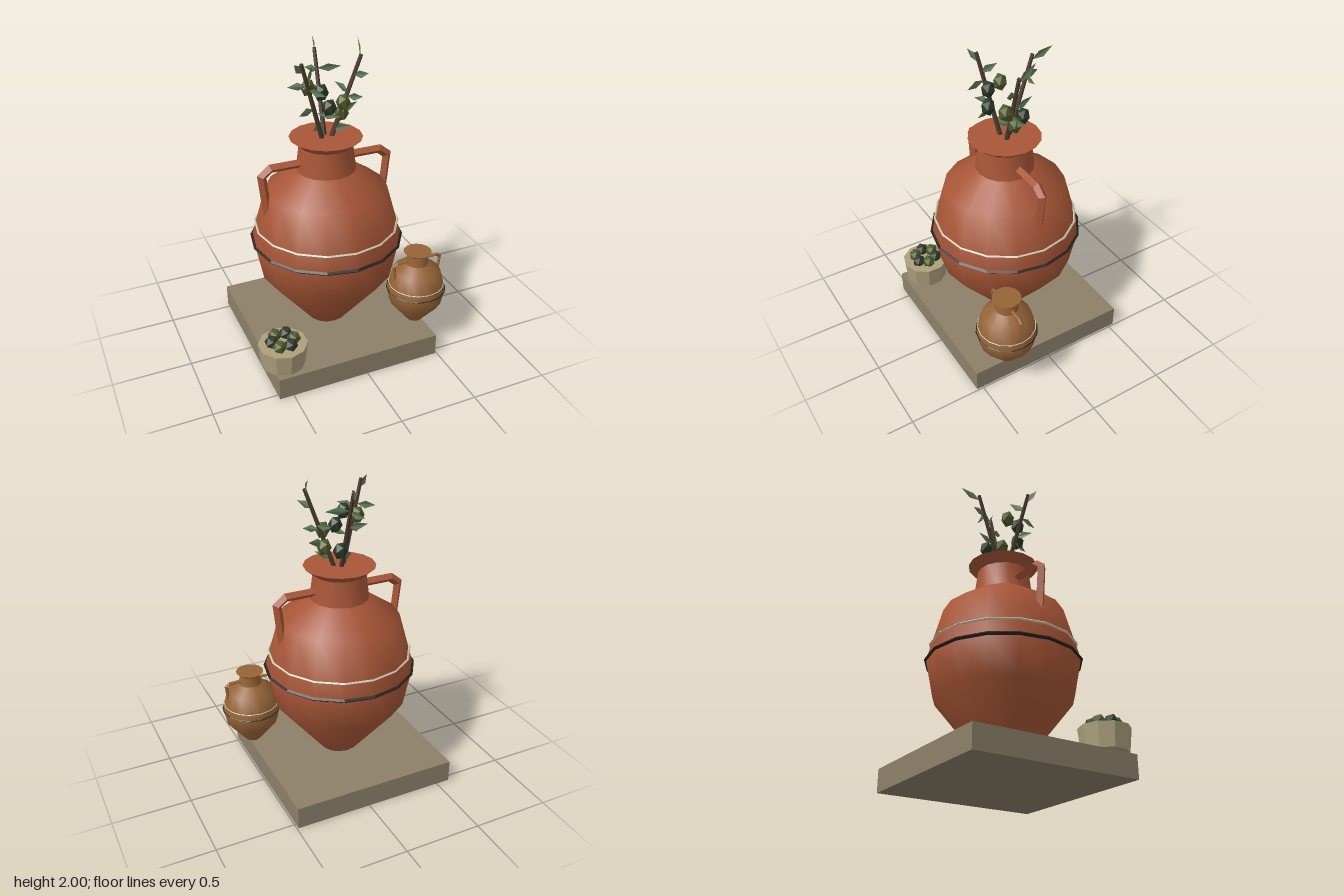
import * as THREE from 'three';
import { toCreasedNormals } from 'three/addons/utils/BufferGeometryUtils.js';

const V = (a) => new THREE.Vector3(...a);
const mat = (color, flatShading = false, side = THREE.FrontSide) =>
  new THREE.MeshStandardMaterial({ color, flatShading, side });

const terracotta = 0xa85637, ochre = 0x966437;
const stone = mat(0x8c8069, true);
const potClay = mat(0xada07c, true);
const darkGlaze = mat(0x2b231e, true);
const creamGlaze = mat(0xd2c8b2, true);
const bark = mat(0x4a3a2d, true);
const leafMat = mat(0x5f7657, true, THREE.DoubleSide);
const oliveMats = [mat(0x2a3826, true), mat(0x4c5a28, true)];

function add(parent, name, geometry, material, pos = [0, 0, 0]) {
  const mesh = new THREE.Mesh(geometry, material);
  mesh.name = name;
  mesh.position.set(...pos);
  parent.add(mesh);
  return mesh;
}

// Diamond-section bar swept along a path in the xy plane, mitred at each bend
function sweepDiamond(path, r) {
  const pts = path.map((p) => new THREE.Vector2(...p));
  const n = pts.length, pos = [], index = [];
  const normalOf = (a, b) => {
    const d = b.clone().sub(a).normalize();
    return new THREE.Vector2(-d.y, d.x);
  };
  pts.forEach((p, i) => {
    const n0 = normalOf(pts[Math.max(i - 1, 0)], pts[Math.max(i, 1)]);
    const n1 = normalOf(pts[Math.min(i, n - 2)], pts[Math.min(i + 1, n - 1)]);
    const m = n0.clone().add(n1).normalize();
    m.multiplyScalar(r / m.dot(n0));
    pos.push(p.x + m.x, p.y + m.y, 0, p.x, p.y, r, p.x - m.x, p.y - m.y, 0, p.x, p.y, -r);
    if (i === n - 1) return;
    for (let k = 0; k < 4; k++) {
      const a = i * 4 + k, b = i * 4 + ((k + 1) % 4);
      index.push(a, b, a + 4, b, b + 4, a + 4);
    }
  });
  const g = new THREE.BufferGeometry();
  g.setAttribute('position', new THREE.Float32BufferAttribute(pos, 3));
  g.setIndex(index);
  g.computeVertexNormals();
  return g;
}

// Two-handled jar with painted bands
function makeJar(name, color) {
  const jar = new THREE.Group();
  jar.name = name;
  const profile = [[0, 0], [0.13, 0], [0.43, 0.375], [0.475, 0.605], [0.38, 0.945],
    [0.185, 1.075], [0.165, 1.235], [0.225, 1.285], [0, 1.285]];
  const lathe = new THREE.LatheGeometry(profile.map((p) => new THREE.Vector2(...p)), 16);
  add(jar, 'jarBody', toCreasedNormals(lathe, 0.8), mat(color));

  const band = (bandName, radius, tube, y, material) => {
    add(jar, bandName, new THREE.TorusGeometry(radius, tube, 4, 16).rotateX(Math.PI / 2), material, [0, y, 0]);
  };
  band('darkBand', 0.475, 0.012, 0.605, darkGlaze);
  band('lightBand', 0.452, 0.008, 0.708, creamGlaze);

  const handle = sweepDiamond([[0.14, 1.135], [0.36, 1.135], [0.416, 1.09], [0.385, 0.8]], 0.028);
  const handleMat = mat(color, true);
  add(jar, 'leftHandle', handle, handleMat);
  add(jar, 'rightHandle', handle, handleMat).rotation.y = Math.PI;
  return jar;
}

// Tapered stick between two points
function makeBranch(parent, from, to) {
  const a = V(from), b = V(to), d = b.clone().sub(a);
  const mesh = add(parent, 'branch', new THREE.CylinderGeometry(0.012, 0.016, d.length(), 5), bark);
  mesh.position.copy(a).add(b).multiplyScalar(0.5);
  mesh.quaternion.setFromUnitVectors(new THREE.Vector3(0, 1, 0), d.normalize());
}

// Upright pointed leaf with a slight fold along its midrib
function makeLeaf(parent, from, to) {
  const a = V(from), b = V(to), d = b.clone().sub(a);
  const side = new THREE.Vector3(-d.z, 0, d.x).normalize();
  const up = side.clone().cross(d).normalize();
  if (up.y < 0) up.negate();
  const mid = a.clone().addScaledVector(d, 0.45);
  const top = mid.clone().addScaledVector(up, 0.024).addScaledVector(side, 0.006);
  const low = mid.clone().addScaledVector(up, -0.024).addScaledVector(side, 0.006);
  const g = new THREE.BufferGeometry().setFromPoints([a, low, b, a, b, top]);
  g.computeVertexNormals();
  add(parent, 'leaf', g, leafMat);
}

export function createModel() {
  const model = new THREE.Group();
  model.name = 'jarsWithOliveBranches';
  const floor = 0.145;

  // Stone base
  add(model, 'baseSlab', new THREE.BoxGeometry(1.08, floor, 1.08), stone, [-0.05, floor / 2, 0]);

  // Large jar and its small companion
  const large = makeJar('largeJar', terracotta);
  large.position.set(-0.05, floor, 0);
  const small = makeJar('smallJar', ochre);
  small.position.set(0.457, floor, 0.3);
  small.scale.setScalar(0.4);
  model.add(large, small);

  // Bowl of olives
  const olive = new THREE.IcosahedronGeometry(0.045, 0);
  const bowl = new THREE.Group();
  bowl.name = 'oliveBowl';
  bowl.position.set(-0.505, floor, 0.383);
  add(bowl, 'bowlBody', new THREE.CylinderGeometry(0.154, 0.137, 0.145, 10), potClay, [0, 0.0725, 0]);
  for (let i = 0; i < 6; i++) {
    const t = (i / 6) * Math.PI * 2 + 0.1;
    add(bowl, 'bowlOlive', olive, oliveMats[(i + 1) % 2],
      [0.07 * Math.cos(t), 0.167, 0.07 * Math.sin(t)]);
  }
  model.add(bowl);

  // Olive branches standing in the large jar
  const sprigs = new THREE.Group();
  sprigs.name = 'oliveBranches';
  model.add(sprigs);
  makeBranch(sprigs, [-0.075, 1.4, 0.01], [-0.232, 1.925, 0.08]);
  makeBranch(sprigs, [-0.05, 1.4, -0.02], [-0.045, 1.925, -0.185]);
  makeBranch(sprigs, [-0.025, 1.4, 0.005], [0.16, 1.92, 0.035]);

  // Hanging olives
  const hanging = [[-0.11, 1.74, 0.075], [-0.15, 1.74, -0.03], [-0.07, 1.65, 0.1],
    [0.04, 1.65, 0.05], [-0.005, 1.56, -0.1], [0.055, 1.56, -0.005]];
  hanging.forEach((p, i) => {
    add(sprigs, 'hangingOlive', olive, oliveMats[i % 2], p).scale.y = 1.25;
  });

  // Leaves as base and tip points
  const leaves = [
    [[-0.225, 1.87, 0.08], [-0.285, 1.935, 0.11]],
    [[-0.2, 1.81, 0.07], [-0.13, 1.88, 0]],
    [[-0.19, 1.78, 0.05], [-0.29, 1.77, 0]],
    [[-0.18, 1.76, 0.06], [-0.13, 1.76, 0.2]],
    [[-0.14, 1.63, 0.04], [-0.255, 1.62, 0.09]],
    [[-0.12, 1.6, 0.04], [-0.035, 1.62, 0.19]],
    [[-0.045, 1.89, -0.18], [-0.01, 1.965, -0.3]],
    [[-0.045, 1.81, -0.14], [0.1, 1.815, -0.11]],
    [[-0.045, 1.8, -0.14], [-0.085, 1.79, -0.25]],
    [[-0.045, 1.7, -0.11], [-0.16, 1.72, -0.15]],
    [[-0.05, 1.5, -0.05], [-0.14, 1.48, 0.02]],
    [[0.155, 1.89, 0.035], [0.18, 2, -0.06]],
    [[0.12, 1.8, 0.03], [0.17, 1.83, 0.12]],
    [[0.09, 1.69, 0.02], [0.06, 1.72, -0.12]],
    [[0.08, 1.67, 0.02], [0.16, 1.67, 0.07]],
    [[0.04, 1.58, 0.01], [0.165, 1.61, -0.02]],
    [[-0.01, 1.47, 0.01], [0.08, 1.51, 0.08]],
  ];
  leaves.forEach(([from, to]) => makeLeaf(sprigs, from, to));

  return model;
}
